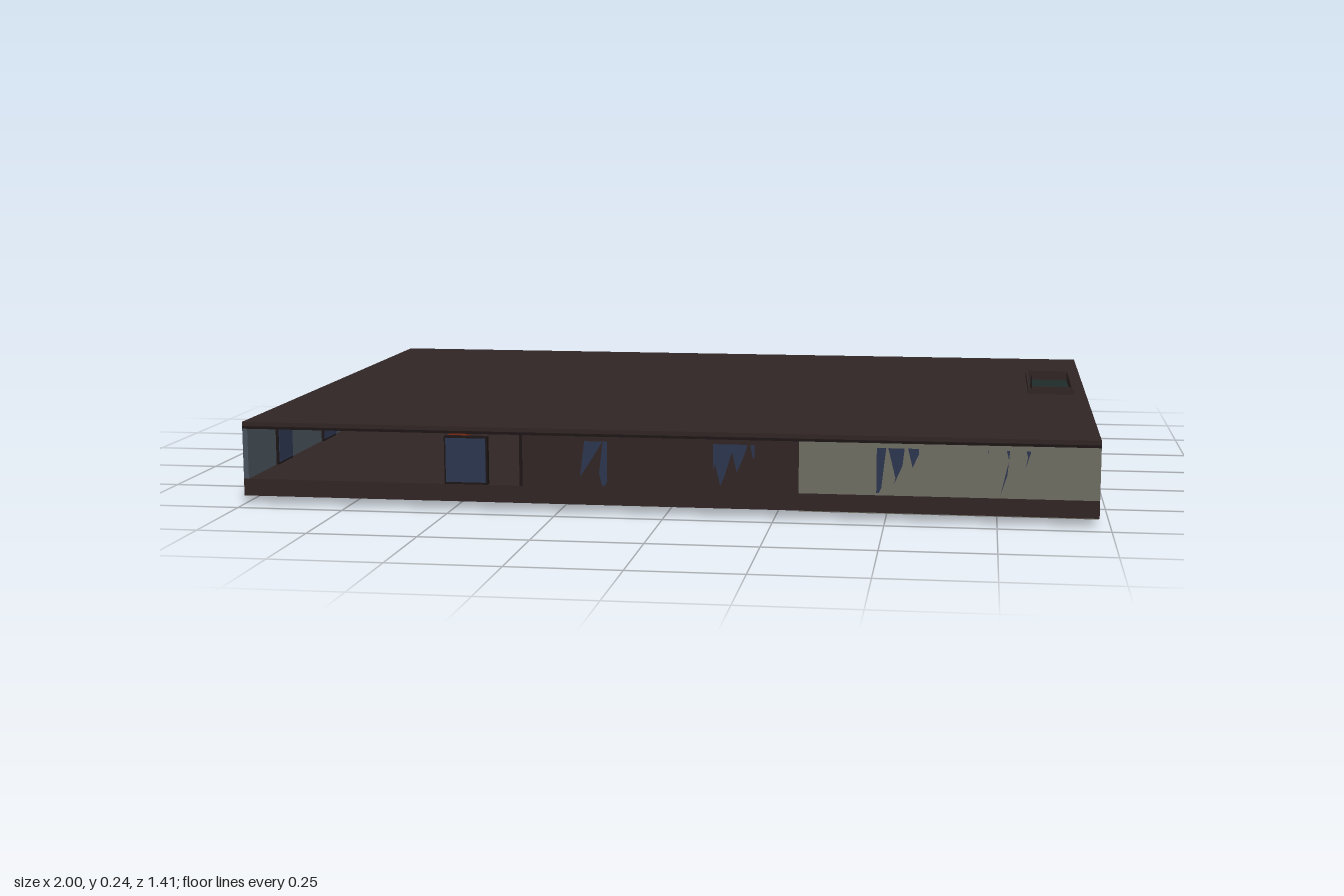
import * as THREE from 'three';

const mat = (name, color) => {
  const m = new THREE.MeshStandardMaterial({ color });
  m.name = name;
  return m;
};

export function createModel() {
  const model = new THREE.Group();
  model.name = 'building';
  const brown = mat('dark brown', 0x312525);
  const cream = mat('stone cream', 0x6f6e64);
  const teal = mat('dark teal', 0x243230);
  const slate = mat('slate blue', 0x48535c);
  const glass = mat('window blue', 0x2d3650);
  const trim = mat('dark trim', 0x1d1616);
  const rust = mat('rust red', 0x7a2a14);
  const blue = mat('soft blue', 0x3f6482);
  const pale = mat('pale white', 0xb4b2a8);

  // Box given by its extents
  const box = (name, m, x0, x1, y0, y1, z0, z1) => {
    const mesh = new THREE.Mesh(new THREE.BoxGeometry(x1 - x0, y1 - y0, z1 - z0), m);
    mesh.position.set((x0 + x1) / 2, (y0 + y1) / 2, (z0 + z1) / 2);
    mesh.name = name;
    model.add(mesh);
    return mesh;
  };

  const X0 = -1, X1 = 0.975, Z = 0.705, T = 0.012;
  const Y0 = 0.02, YF = 0.06, YC = 0.183, YR = 0.195;

  // Floor slab around the recess in the underside
  box('floorLeft', brown, X0, -0.2, Y0, YF, -Z, Z);
  box('floorRight', brown, 0.2, X1, Y0, YF, -Z, Z);
  box('floorFront', brown, -0.2, 0.2, Y0, YF, 0.07, Z);
  box('floorRecess', brown, -0.2, 0.2, 0.054, YF, -Z, 0.07);
  box('undersidePanel', cream, 0.305, X1 - 0.001, Y0 - 0.002, Y0 + 0.002, 0.14, Z - 0.001);

  // Roof slab with the hatch opening
  const hx0 = 0.835, hx1 = 0.94, hz0 = -0.355, hz1 = -0.045;
  box('roofMain', brown, X0, hx0, YC, YR, -Z, Z);
  box('roofEdge', brown, hx1, X1, YC, YR, -Z, Z);
  box('roofBack', brown, hx0, hx1, YC, YR, -Z, hz0);
  box('roofFront', brown, hx0, hx1, YC, YR, hz1, Z);

  // Raised rim and handrail of the hatch
  const rim = 0.006;
  box('hatchRim', brown, hx0 - rim, hx0, YR, 0.208, hz0, 0);
  box('hatchRim', brown, hx1, hx1 + rim, YR, 0.208, hz0, 0);
  for (const z of [hz0, hz1, -rim]) box('hatchRim', brown, hx0, hx1, YR, 0.208, z, z + rim);
  for (let i = 0; i < 5; i++) {
    const z = -0.004 - i * 0.013;
    box('handrailPost', trim, hx0, hx0 + 0.003, 0.208, 0.242 - i * 0.007, z - 0.0015, z + 0.0015);
  }

  // Wall runs: along x at a z position, or along z at an x position
  const wallX = (m, a, b, z) => box('wall', m, a, b, YF, YC, z, z + T);
  const wallZ = (m, a, b, x) => box('wall', m, x, x + T, YF, YC, a, b);

  // Front side, with the left room open
  wallX(brown, -0.335, 0.305, Z - T);
  wallX(cream, 0.305, X1, Z - T);
  // Back side, with a wide opening in the middle
  wallX(brown, X0, -0.117, -Z);
  wallX(brown, 0.1, 0.305, -Z);
  wallX(teal, 0.305, X1, -Z);
  // Right side
  wallZ(cream, 0.14, Z - T, X1 - T);
  wallZ(teal, -Z + T, 0.14, X1 - T);
  // Left side, with a doorway
  wallZ(slate, 0, Z, X0);
  wallZ(brown, -0.24, 0, X0);
  wallZ(brown, -Z + T, -0.43, X0);

  // Partitions, skinned in the colour of each room
  wallX(slate, X0 + T, -0.335, 0);
  wallX(brown, X0 + T, -0.335, -T);
  wallZ(brown, -Z + T, Z - T, -0.335);
  box('slateLining', slate, -0.339, -0.335, YF, YC, T, Z);
  wallZ(brown, -Z + T, Z - T, 0.293);
  wallZ(cream, 0.14, Z - T, 0.305);
  wallZ(teal, -Z + T, 0.14, 0.305);
  wallX(cream, 0.317, X1 - T, 0.14);
  wallX(teal, 0.317, X1 - T, 0.14 - T);

  // Windows: glass with a slim dark frame, showing on both wall faces
  const windowX = (a, b, z) => {
    box('windowFrame', trim, a - 0.004, b + 0.004, YF, 0.172, z - 0.002, z + T + 0.002);
    box('windowGlass', glass, a, b, 0.065, 0.168, z - 0.004, z + T + 0.004);
  };
  const windowZ = (a, b, x) => {
    box('windowFrame', trim, x - 0.002, x + T + 0.002, YF, 0.172, a - 0.004, b + 0.004);
    box('windowGlass', glass, x - 0.004, x + T + 0.004, 0.065, 0.168, a, b);
  };
  for (const x of [-0.513, -0.228, 0.11, 0.48, 0.727]) windowX(x, x + 0.094, Z - T - 0.004);
  for (const x of [-0.862, -0.58, 0.465, 0.75]) windowX(x, x + 0.094, -Z + 0.004);
  for (const z of [0.495, 0.21, -0.337, -0.567]) windowZ(z, z + 0.092, X1 - T - 0.004);
  for (const z of [-0.59, -0.2, 0.08, 0.42]) windowZ(z, z + 0.092, X0 + 0.004);

  // Corner and joint posts
  for (const x of [-0.34, 0.302])
    box('jointPost', trim, x, x + 0.007, YF, YC, -Z - 0.001, -Z + 0.004);
  box('jointPost', trim, -0.339, -0.332, YF, YC, Z - 0.004, Z + 0.001);
  box('jointPost', trim, X1 - 0.004, X1 + 0.001, YF, YC, 0.137, 0.143);
  for (const s of [-1, 1])
    box('eavesTrim', trim, X0, X1, YC - 0.004, YC + 0.002, s * (Z - 0.002) - 0.003, s * (Z - 0.002) + 0.003);

  // Small panels and vent on the right side
  box('wallPanel', brown, X1 - 0.004, X1 + 0.002, YF, 0.105, -0.04, 0.012);
  box('wallPanel', brown, X1 - 0.004, X1 + 0.002, YF, 0.105, -0.165, -0.11);
  box('vent', trim, X1 - 0.004, X1 + 0.002, 0.068, 0.08, 0.398, 0.412);

  // Door and rust bench in the open front room
  box('innerDoor', brown, -0.72, -0.61, YF, 0.14, T, 0.018);
  box('innerDoorPane', slate, -0.716, -0.68, 0.065, 0.09, 0.017, 0.02);
  box('bench', rust, -0.68, -0.63, YF, 0.078, 0.02, 0.06);

  // Furnishings seen through the back opening
  box('backScreen', pale, -0.115, 0.1, YF, 0.17, -0.56, -0.552);
  box('blueCabinet', blue, -0.06, 0.06, YF, 0.125, -0.6, -0.565);
  for (let i = 0; i < 4; i++)
    box('rustStep', rust, -0.1 + i * 0.045, -0.055 + i * 0.045, YF, 0.075 + i * 0.014, -0.65, -0.605);
  box('openingJamb', pale, -0.119, -0.115, YF, YC, -Z, -Z + T + 0.002);

  // Furnishings seen through the left doorway
  box('doorwayScreen', pale, -0.86, -0.852, YF, 0.14, -0.42, -0.26);
  box('doorwaySeat', rust, -0.93, -0.87, YF, 0.09, -0.4, -0.3);

  // Flat rust fin at the right side and plate below the floor
  const plate = (name, pts) => {
    const s = new THREE.Shape(pts.map(p => new THREE.Vector2(...p)));
    const mesh = new THREE.Mesh(new THREE.ExtrudeGeometry(s, { depth: 0.003, bevelEnabled: false }), rust);
    mesh.name = name;
    model.add(mesh);
    return mesh;
  };
  plate('sideFin', [[0.97, 0.04], [1, 0.038], [1, 0.095], [0.97, 0.06]]).position.z = 0.143;
  const keel = plate('lowerPlate', [[0.13, 0], [0.21, 0], [0.21, 0.022], [0.155, 0.022]]);
  keel.rotation.y = Math.PI / 2;
  keel.position.x = -0.31;

  // Round drain under the front room
  const drain = new THREE.Mesh(new THREE.CylinderGeometry(0.042, 0.042, 0.008, 24), trim);
  drain.position.set(-0.585, 0.016, 0.55);
  drain.name = 'drain';
  model.add(drain);

  return model;
}
